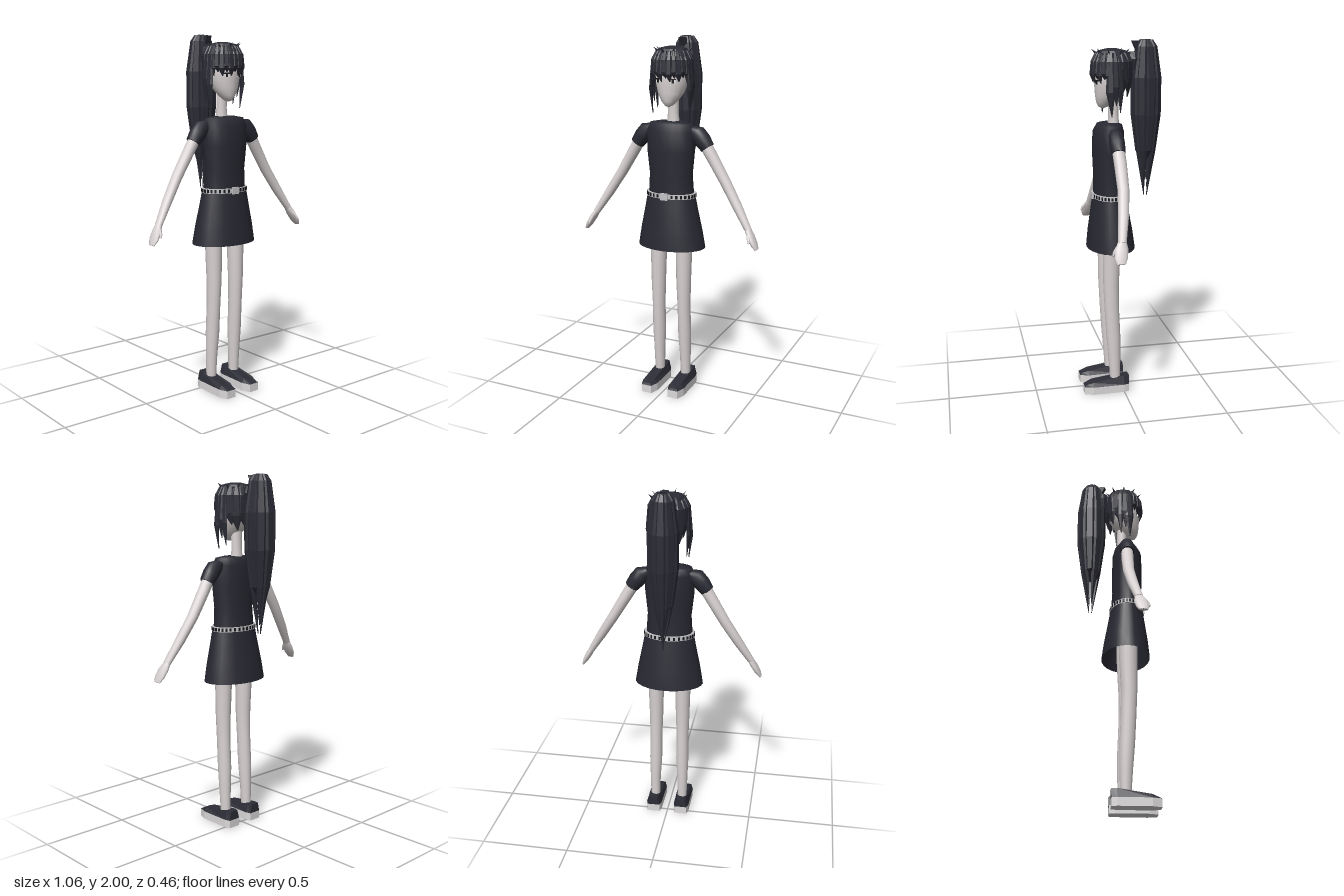
import * as THREE from 'three';

const mat = (name, color, side = THREE.FrontSide) => {
  const m = new THREE.MeshStandardMaterial({ color, side });
  m.name = name;
  return m;
};

// Skin over elliptical rings [x, y, z, rx, rz], listed from top to bottom; tilt leans the rings about z.
function loft(rings, sides, { flat = false, tilt = 0, caps = true } = {}) {
  const pos = [], idx = [];
  const addRing = ([x, y, z, rx, rz]) => {
    const start = pos.length / 3;
    for (let i = 0; i < sides; i++) {
      const a = (i / sides) * Math.PI * 2, u = Math.cos(a) * rx;
      pos.push(x + u * Math.cos(tilt), y + u * Math.sin(tilt), z + Math.sin(a) * rz);
    }
    return start;
  };
  const starts = rings.map(addRing);
  for (let j = 0; j < rings.length - 1; j++) {
    for (let i = 0; i < sides; i++) {
      const k = (i + 1) % sides, a = starts[j], b = starts[j + 1];
      idx.push(a + i, a + k, b + i, a + k, b + k, b + i);
    }
  }
  if (caps) {
    for (const [ring, top] of [[rings[0], true], [rings[rings.length - 1], false]]) {
      const s = addRing(ring), c = pos.length / 3;
      pos.push(ring[0], ring[1], ring[2]);
      for (let i = 0; i < sides; i++) {
        const k = (i + 1) % sides;
        if (top) idx.push(c, s + k, s + i);
        else idx.push(c, s + i, s + k);
      }
    }
  }
  let g = new THREE.BufferGeometry();
  g.setAttribute('position', new THREE.Float32BufferAttribute(pos, 3));
  g.setIndex(idx);
  if (flat) g = g.toNonIndexed();
  g.computeVertexNormals();
  return g;
}

export function createModel() {
  const skin = mat('skin', 0xd9d2d2);
  const hair = mat('hair', 0x2b2c35);
  const cloth = mat('dress cloth', 0x282932, THREE.DoubleSide);
  const shoeDark = mat('shoe upper', 0x2c2d36);
  const sole = mat('shoe sole', 0xdcd9d9);
  const metal = mat('belt metal', 0xc4c4c8);
  const black = mat('black', 0x17171b);
  const white = mat('eye white', 0xf0eeee);

  const root = new THREE.Group();
  root.name = 'figure';
  const add = (name, geo, material, parent = root) => {
    const m = new THREE.Mesh(geo, material);
    m.name = name;
    parent.add(m);
    return m;
  };

  // Dress: bodice and open flared skirt
  add('bodice', loft([
    [0, 1.557, 0.055, 0.075, 0.045], [0, 1.548, 0.06, 0.125, 0.068], [0, 1.51, 0.066, 0.138, 0.084],
    [0, 1.40, 0.067, 0.138, 0.087], [0, 1.27, 0.065, 0.124, 0.084], [0, 1.15, 0.062, 0.132, 0.088],
  ], 20), cloth);
  add('skirt', loft([
    [0, 1.165, 0.062, 0.137, 0.09], [0, 1.08, 0.061, 0.153, 0.103],
    [0, 0.95, 0.058, 0.18, 0.124], [0, 0.855, 0.056, 0.196, 0.135],
  ], 24, { caps: false }), cloth);

  // Belt: light band with dark studs and a buckle
  add('belt', loft([[0, 1.168, 0.062, 0.143, 0.094], [0, 1.142, 0.062, 0.143, 0.094]], 32), metal);
  const studs = new THREE.Group();
  studs.name = 'beltStuds';
  root.add(studs);
  for (let i = 0; i < 32; i++) {
    const a = ((i + 0.5) / 32) * Math.PI * 2;
    const s = add('stud', new THREE.BoxGeometry(0.011, 0.018, 0.004), black, studs);
    s.position.set(Math.cos(a) * 0.143, 1.155, 0.062 + Math.sin(a) * 0.094);
    s.rotation.y = Math.atan2(Math.cos(a) / 0.143, Math.sin(a) / 0.094);
  }
  add('buckle', new THREE.BoxGeometry(0.04, 0.038, 0.012), metal).position.set(0, 1.155, 0.158);

  // Neck and head
  add('neck', loft([[0, 1.72, 0.04, 0.032, 0.03], [0, 1.6, 0.037, 0.03, 0.028], [0, 1.54, 0.037, 0.036, 0.032]], 14), skin);
  add('head', loft([
    [0, 1.93, 0.045, 0.05, 0.05], [0, 1.89, 0.045, 0.085, 0.088], [0, 1.82, 0.046, 0.094, 0.098],
    [0, 1.765, 0.052, 0.088, 0.09], [0, 1.71, 0.066, 0.071, 0.072], [0, 1.67, 0.082, 0.045, 0.05],
    [0, 1.645, 0.092, 0.02, 0.027], [0, 1.638, 0.094, 0.005, 0.008],
  ], 20), skin);

  for (const s of [1, -1]) {
    const side = new THREE.Group();
    side.name = s > 0 ? 'leftSide' : 'rightSide';
    root.add(side);
    const mirror = (rings) => rings.map(([x, ...r]) => [x * s, ...r]);

    // Eye
    const eye = new THREE.Group();
    eye.name = 'eye';
    eye.position.set(0.042 * s, 1.778, 0.134);
    eye.rotation.y = 0.4 * s;
    side.add(eye);
    add('eyeWhite', new THREE.BoxGeometry(0.03, 0.018, 0.004), white, eye);
    add('iris', new THREE.BoxGeometry(0.013, 0.017, 0.004), black, eye).position.z = 0.002;
    add('lash', new THREE.BoxGeometry(0.036, 0.006, 0.006), black, eye).position.set(0, 0.011, 0.002);

    // Puff sleeve, bare arm, hand and thumb
    add('sleeve', loft(mirror([
      [0.115, 1.525, 0.053, 0.022, 0.028], [0.145, 1.507, 0.053, 0.046, 0.04],
      [0.18, 1.465, 0.053, 0.047, 0.043], [0.211, 1.424, 0.053, 0.039, 0.037],
    ]), 12, { tilt: 0.62 * s }), cloth);
    add('arm', loft(mirror([
      [0.185, 1.46, 0.052, 0.034, 0.034], [0.24, 1.37, 0.049, 0.032, 0.034], [0.315, 1.245, 0.049, 0.029, 0.031],
      [0.39, 1.125, 0.065, 0.026, 0.029], [0.465, 1.005, 0.088, 0.018, 0.023],
    ]), 14, { tilt: 0.52 * s }), skin);
    add('hand', loft(mirror([
      [0.46, 1.013, 0.087, 0.016, 0.022], [0.482, 0.975, 0.095, 0.018, 0.036],
      [0.505, 0.935, 0.102, 0.015, 0.036], [0.521, 0.907, 0.104, 0.008, 0.024],
    ]), 10, { tilt: 0.5 * s }), skin);
    add('thumb', loft(mirror([
      [0.472, 0.99, 0.112, 0.01, 0.012], [0.482, 0.965, 0.132, 0.009, 0.01], [0.488, 0.945, 0.14, 0.005, 0.005],
    ]), 6, { tilt: 0.5 * s }), skin);

    // Leg
    add('leg', loft(mirror([
      [0.08, 1.1, 0.062, 0.052, 0.055], [0.078, 0.85, 0.064, 0.046, 0.051], [0.078, 0.65, 0.068, 0.041, 0.045],
      [0.079, 0.5, 0.064, 0.036, 0.042], [0.08, 0.34, 0.056, 0.037, 0.041], [0.082, 0.2, 0.05, 0.031, 0.035],
      [0.082, 0.06, 0.046, 0.027, 0.029],
    ]), 16), skin);

    // Shoe: tapered outline; the upper slopes down to the toe and narrows upward
    const outline = new THREE.Shape([[-0.036, 0.03], [-0.045, 0], [-0.047, -0.18], [-0.03, -0.23],
      [0.03, -0.23], [0.047, -0.18], [0.045, 0], [0.036, 0.03]].map(([x, y]) => new THREE.Vector2(x, y)));
    const slab = (h) => new THREE.ExtrudeGeometry(outline, { depth: h, bevelEnabled: false }).rotateX(-Math.PI / 2);
    add('sole', slab(0.045), sole, side).position.x = 0.083 * s;
    const upper = slab(0.05), p = upper.attributes.position;
    for (let i = 0; i < p.count; i++) {
      if (p.getY(i) < 0.01) continue;
      const z = p.getZ(i);
      p.setXYZ(i, p.getX(i) * 0.66, z > 0.2 ? 0.008 : z > 0.1 ? 0.022 : 0.05, z > 0.2 ? z - 0.012 : z);
    }
    upper.computeVertexNormals();
    add('shoeUpper', upper, shoeDark, side).position.set(0.083 * s, 0.045, 0);
  }

  // Hair, built round the vertical axis of the head
  const hairGroup = new THREE.Group();
  hairGroup.name = 'hair';
  hairGroup.position.z = 0.045;
  root.add(hairGroup);
  const flat = { flat: true };
  add('hairCap', loft([
    [0, 1.955, 0, 0.03, 0.03], [0, 1.945, 0, 0.075, 0.075], [0, 1.91, 0, 0.1, 0.102], [0, 1.85, 0, 0.108, 0.11],
  ], 14, flat), hair, hairGroup);

  // One lock hanging from the crown at a heading, 0 being the front
  const lock = (name, angle, tipY, width, out = 0.108) => {
    const mid = 1.86 * 0.5 + tipY * 0.5;
    add(name, loft([
      [0, 1.935, 0.08, width * 0.4, 0.01], [0, 1.89, 0.103, width * 0.8, 0.012],
      [0, mid, out + 0.004, width, 0.009], [width * 0.25, tipY, out - 0.008, 0.002, 0.002],
    ], 6, flat).rotateY(angle), hair, hairGroup);
  };
  for (let i = -5; i <= 5; i++) lock('fringe', i * 0.24, i % 2 ? 1.775 : 1.795, 0.021);
  for (const s of [1, -1]) {
    lock('sideLock', s * 1.32, 1.6, 0.025, 0.116);
    lock('sideLock', s * 1.55, 1.66, 0.024, 0.113);
    lock('sideLock', s * 1.8, 1.62, 0.02, 0.108);
  }
  for (let i = -3; i <= 3; i++) lock('backLock', Math.PI + i * 0.36, 1.7 + (i % 2 ? 0.03 : 0), 0.034, 0.098);

  // Loose tufts standing up from the crown
  for (let i = 0; i < 9; i++) {
    const a = 0.5 + i * 0.7, r = 0.082 + (i % 3) * 0.006;
    const t = add('tuft', new THREE.ConeGeometry(0.01, 0.045, 4).toNonIndexed(), hair, hairGroup);
    t.geometry.computeVertexNormals();
    t.position.set(Math.sin(a) * r, 1.938, Math.cos(a) * r);
    t.rotation.set(0.85, a, 0, 'YXZ');
  }

  // Ponytail: a knot and a hollow ring of long pointed clumps
  const tail = new THREE.Group();
  tail.name = 'ponytail';
  tail.position.z = -0.145;
  root.add(tail);
  add('hairKnot', loft([
    [0, 1.935, 0.07, 0.035, 0.03], [0, 1.9, 0.07, 0.045, 0.045], [0, 1.84, 0.075, 0.03, 0.03],
  ], 8, flat), hair, tail);
  add('knotTuft', loft([[0, 1.995, 0.062, 0.024, 0.025], [0, 1.95, 0.05, 0.024, 0.016], [0, 1.9, 0.05, 0.03, 0.02]], 5, flat), hair, tail);
  const clumps = 9;
  for (let i = 0; i < clumps; i++) {
    const a = (i / clumps) * Math.PI * 2 + Math.PI;
    const tip = 1.14 + [0, 0.09, 0.2, 0.05, 0.16][i % 5];
    add('tailClump', loft([
      [0, 2.0, 0.026, 0.012, 0.012], [0, 1.965, 0.042, 0.025, 0.02], [0, 1.8, 0.062, 0.034, 0.024],
      [0, 1.6, 0.061, 0.033, 0.024], [0, 1.4, 0.04, 0.023, 0.018], [0, tip, 0.008, 0.002, 0.002],
    ], 6, flat).rotateY(a), hair, tail);
  }
  return root;
}
